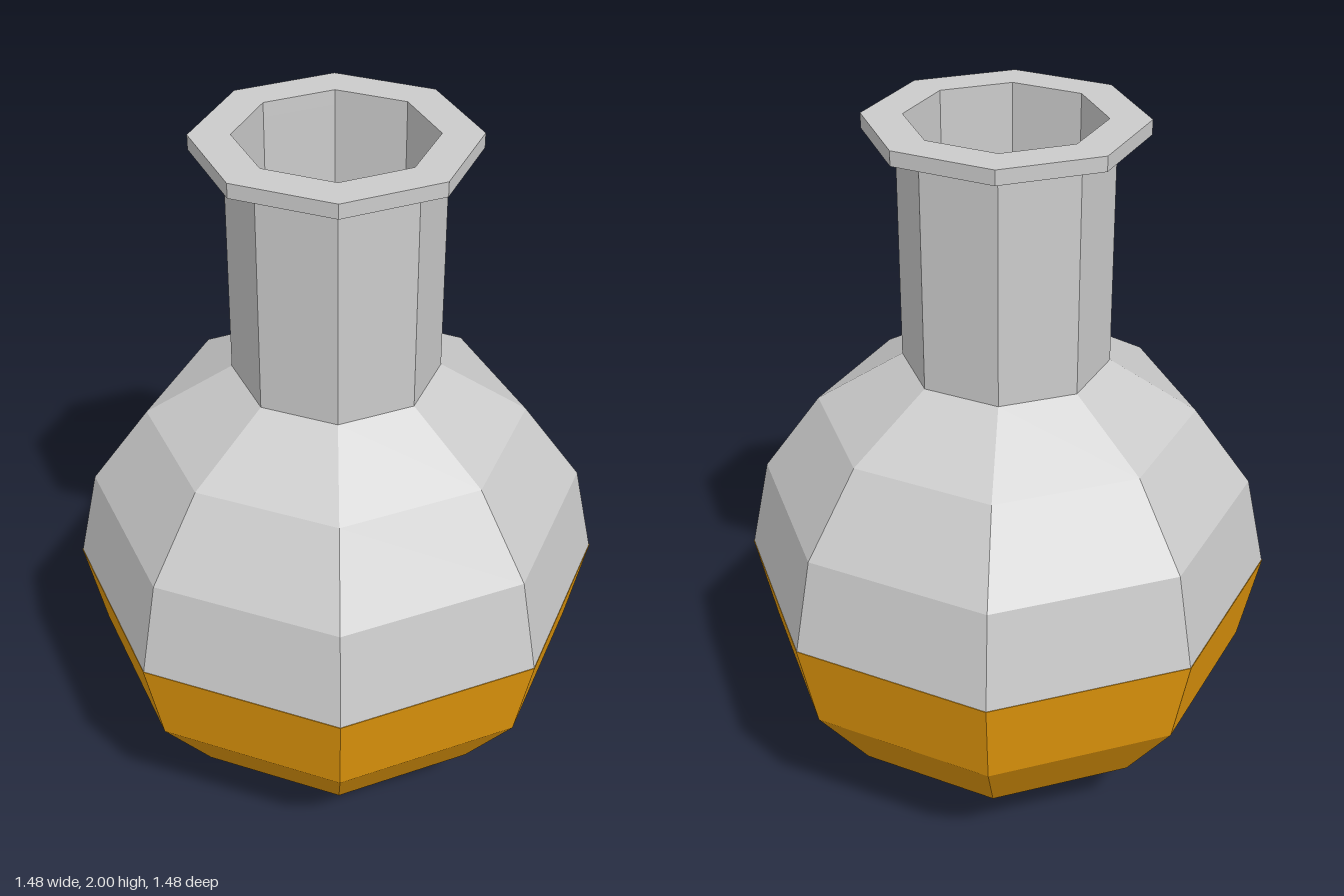
import * as THREE from 'three';

const SIDES = 8;
const RX = 0.74, RY = 0.686; // slightly squashed round belly

// Belly profile from the bottom pole upward, in steps of 22.5 degrees
function bellyProfile(rings, grow = 0) {
  const pts = [];
  for (let i = 0; i <= rings; i++) {
    const a = (i * Math.PI) / 8;
    pts.push([(RX + grow) * Math.sin(a), RY - RY * Math.cos(a)]);
  }
  return pts;
}

function lathe(name, profile, color) {
  const geo = new THREE.LatheGeometry(profile.map(([r, y]) => new THREE.Vector2(r, y)), SIDES);
  const mesh = new THREE.Mesh(geo, new THREE.MeshStandardMaterial({ color, flatShading: true }));
  mesh.name = name;
  return mesh;
}

export function createModel() {
  const flask = new THREE.Group();
  flask.name = 'flask';

  const neckR = RX * Math.sin(Math.PI / 8);
  const neckY = RY + RY * Math.cos(Math.PI / 8);
  const boreR = 0.262, lipR = 0.37, lipY = 1.96, topY = 2;

  // Round faceted body
  flask.add(lathe('belly', bellyProfile(7), 0xcccccc));

  // Hollow neck: outer wall, bore and closed floor of the bore
  flask.add(lathe('neck', [
    [neckR, neckY], [neckR, lipY], [boreR, lipY], [boreR, neckY], [0, neckY],
  ], 0xcccccc));

  // Flat collar around the mouth
  flask.add(lathe('lip', [
    [boreR, lipY], [lipR, lipY], [lipR, topY], [boreR, topY], [boreR, lipY],
  ], 0xcccccc));

  // Liquid filling the lower half, a hair proud of the body so it shows
  flask.add(lathe('liquid', [...bellyProfile(4, 0.002), [0, RY]], 0xe69a0c));

  return flask;
}
